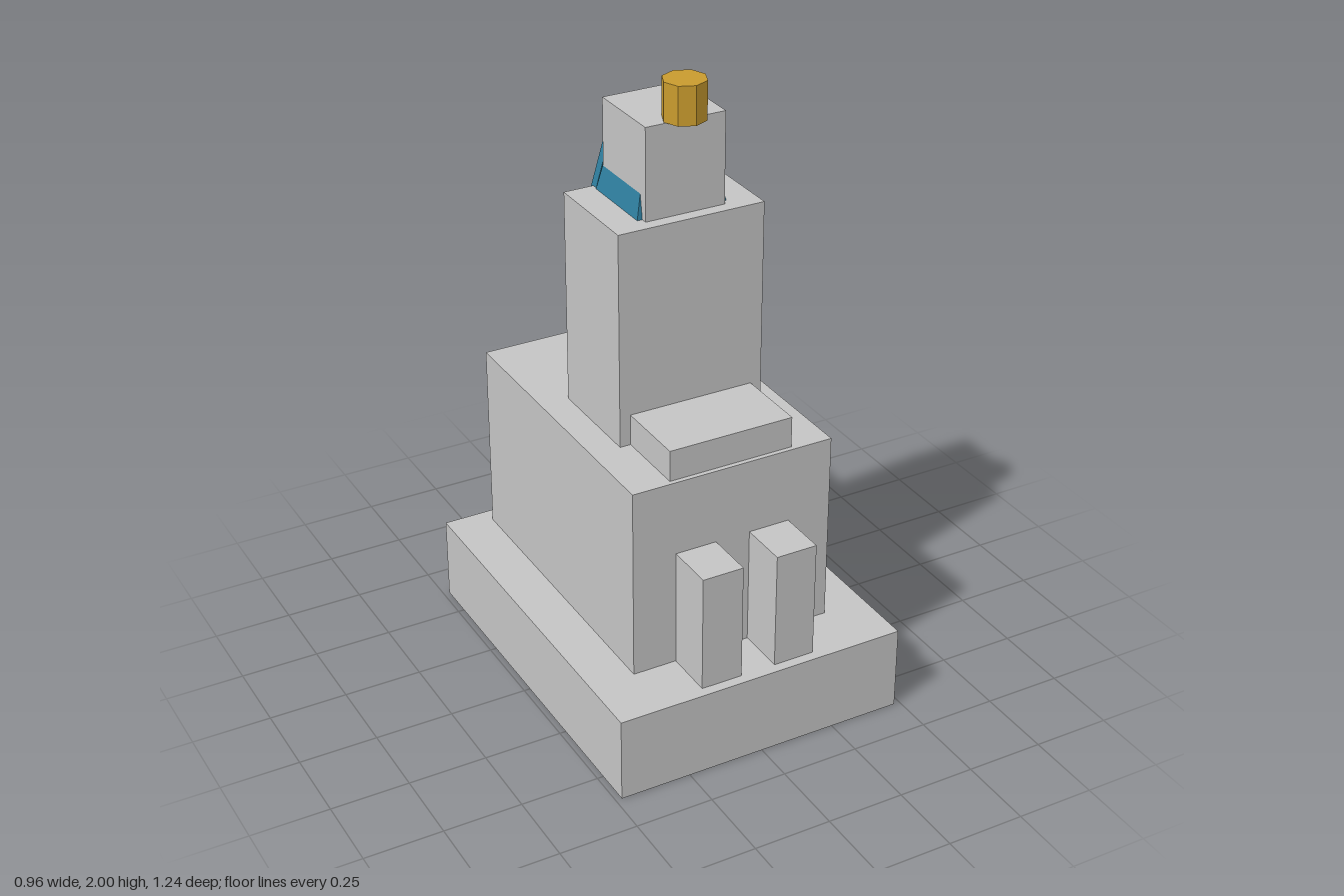
import * as THREE from 'three';

const mat = (name, color) => {
  const m = new THREE.MeshStandardMaterial({ color });
  m.name = name;
  return m;
};

// Six-sided block between two horizontal rectangles, each [x half-width, back z, front z, y]
function taperedBlock(bottom, top) {
  const g = new THREE.BoxGeometry(2, 2, 2).toNonIndexed();
  const p = g.attributes.position;
  for (let i = 0; i < p.count; i++) {
    const [halfWidth, back, front, y] = p.getY(i) < 0 ? bottom : top;
    p.setXYZ(i, p.getX(i) * halfWidth, y, p.getZ(i) < 0 ? back : front);
  }
  g.computeVertexNormals();
  return g;
}

export function createModel() {
  const stone = mat('stone grey', 0xc4c4c4);
  const blue = mat('cloth blue', 0x2f7f9f);
  const gold = mat('gold', 0xc89b2e);
  const model = new THREE.Group();
  model.name = 'statue';

  const add = (name, geometry, material) => {
    const mesh = new THREE.Mesh(geometry, material);
    mesh.name = name;
    model.add(mesh);
    return mesh;
  };
  const block = (name, x0, x1, y0, y1, z0, z1) =>
    add(name, new THREE.BoxGeometry(x1 - x0, y1 - y0, z1 - z0), stone)
      .position.set((x0 + x1) / 2, (y0 + y1) / 2, (z0 + z1) / 2);

  // Stacked stone masses
  block('plinth', -0.48, 0.48, 0, 0.275, -0.618, 0.618);
  block('seatBlock', -0.335, 0.335, 0.275, 0.9, -0.563, 0.425);
  block('torso', -0.24, 0.24, 0.9, 1.59, -0.17, 0.17);
  block('lap', -0.205, 0.205, 0.9, 1.0, 0.1, 0.41);
  block('head', -0.13, 0.13, 1.59, 1.88, -0.13, 0.13);

  // Legs in front of the seat
  block('leftLeg', 0.057, 0.192, 0.275, 0.657, 0.4, 0.585);
  block('rightLeg', -0.192, -0.057, 0.275, 0.657, 0.4, 0.585);

  // Headdress: flared collar around the head and a panel hanging behind
  add('headdressCollar', taperedBlock([0.153, -0.15, 0.115, 1.56], [0.127, -0.13, 0.096, 1.68]), blue);
  add('headdressBack', taperedBlock([0.162, -0.198, -0.168, 1.49], [0.09, -0.134, -0.104, 1.87]), blue);

  // Eight-sided ornament over the brow
  add('crownOrnament', new THREE.CylinderGeometry(0.067, 0.067, 0.12, 8).toNonIndexed(), gold)
    .position.set(0, 1.94, 0.122);
  model.children.at(-1).geometry.computeVertexNormals();

  return model;
}
